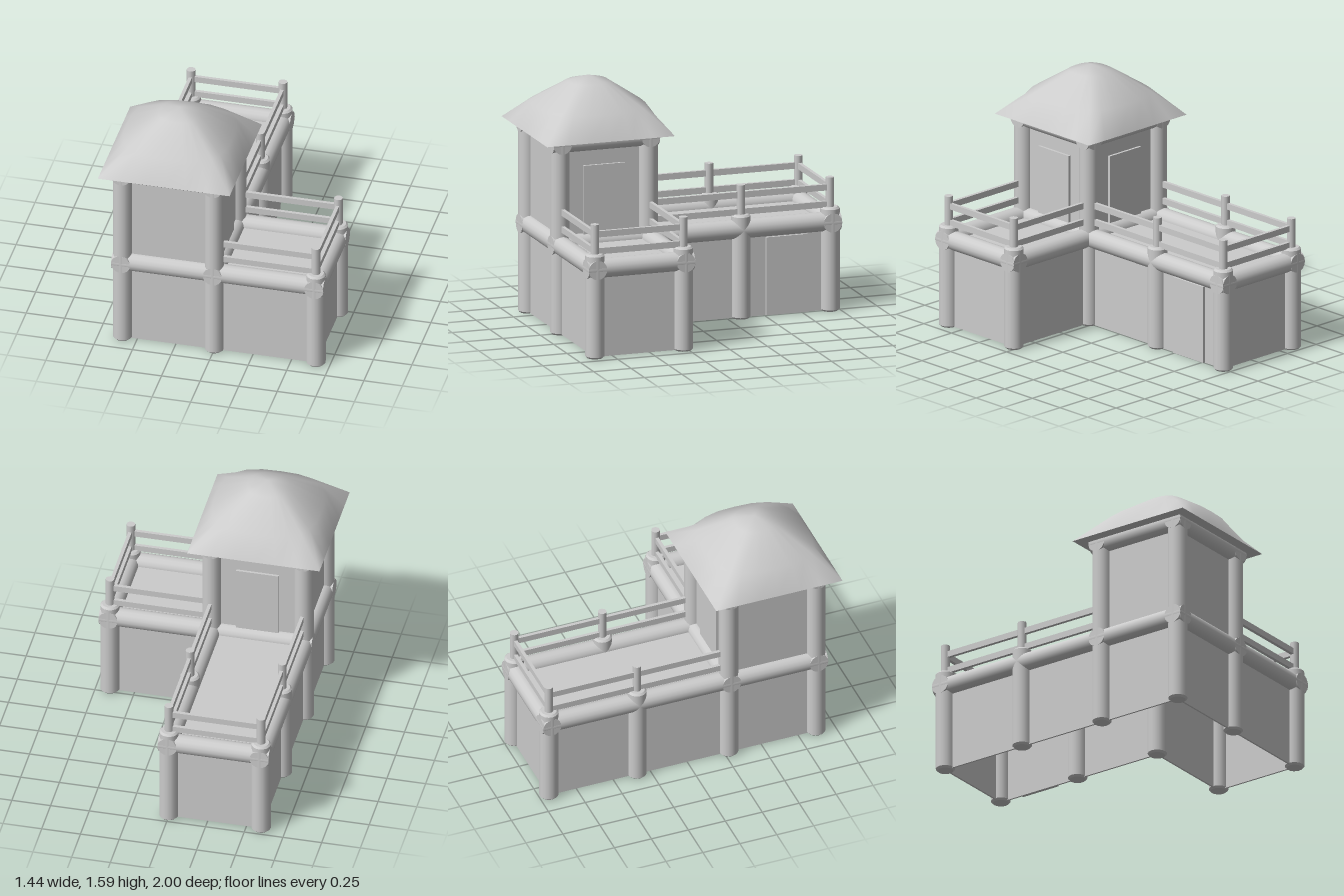
import * as THREE from 'three';

const grey = new THREE.MeshStandardMaterial({ color: 0xcccccc });
grey.name = 'plain grey';

export function createModel() {
  const root = new THREE.Group();
  root.name = 'watchtower';
  const add = (name, geo, x = 0, y = 0, z = 0) => {
    const m = new THREE.Mesh(geo, grey);
    m.name = name;
    m.position.set(x, y, z);
    root.add(m);
    return m;
  };

  // Grid lines shared by posts, beams and walls
  const L = -0.595, M = 0, R = 0.658;
  const F = 0.87, C = 0.28, B = -0.34, K = -0.936;
  const r = 0.062, beamY = 0.578, topY = 1.235;

  // Upright log with small bevels at both ends
  const log = (radius, h, bevel) => {
    const p = [[0, 0], [radius - bevel, 0], [radius, bevel], [radius, h - bevel], [radius - bevel, h], [0, h]];
    const pts = [];
    // doubled points keep the edges crisp
    p.forEach(([x, y], i) => {
      pts.push(new THREE.Vector2(x, y));
      if (i > 0 && i < 5) pts.push(new THREE.Vector2(x, y + (i < 3 ? 1e-4 : -1e-4)));
    });
    return new THREE.LatheGeometry(pts, 16);
  };

  // Straight horizontal part between two plan points
  const span = (name, geoFor, a, b, y, extra = 0) => {
    const dx = b[0] - a[0], dz = b[1] - a[1];
    const m = add(name, geoFor(Math.hypot(dx, dz) + extra * 2), (a[0] + b[0]) / 2, y, (a[1] + b[1]) / 2);
    m.rotation.y = Math.atan2(-dz, dx);
    return m;
  };
  const beam = (a, b, y) => span('beam', len => new THREE.CylinderGeometry(r, r, len, 16).rotateZ(Math.PI / 2), a, b, y, 0.06);
  const wall = (name, a, b, y0, y1) => span(name, len => new THREE.BoxGeometry(len, y1 - y0, 0.012), a, b, (y0 + y1) / 2);

  // Posts
  for (const x of [L, M]) for (const z of [F, C]) add('tallPost', log(r, 1.25, 0.012), x, 0, z);
  const shortPosts = [[L, B], [M, B], [L, K], [M, K], [R, F], [R, C]];
  for (const [x, z] of shortPosts) {
    add('shortPost', log(r, 0.675, 0.012), x, 0, z);
    add('railPost', new THREE.CylinderGeometry(0.028, 0.028, 0.2, 10), x, 0.765, z);
  }

  // Lower outline: walls and beams
  const outline = [[L, F], [R, F], [R, C], [M, C], [M, K], [L, K]];
  outline.forEach((a, i) => {
    const b = outline[(i + 1) % outline.length];
    wall('lowerWall', a, b, 0.005, beamY);
    beam(a, b, beamY);
  });
  beam([L, C], [M, C], beamY);
  beam([M, F], [M, C], beamY);

  // Tower room walls and top beams
  const room = [[L, F], [M, F], [M, C], [L, C]];
  room.forEach((a, i) => {
    const b = room[(i + 1) % 4];
    wall('towerWall', a, b, beamY, 1.25);
    beam(a, b, topY);
  });

  // Deck floors
  const floor = (name, x0, x1, z0, z1) =>
    add(name, new THREE.BoxGeometry(x1 - x0, 0.012, z1 - z0), (x0 + x1) / 2, beamY, (z0 + z1) / 2);
  floor('backDeck', L, M, K, C);
  floor('sideDeck', M, R, C, F);
  floor('towerFloor', L, M, C, F);

  // Railings, two bars on each open side
  const rails = [
    [[M, F], [R, F]], [[R, F], [R, C]], [[R, C], [M, C]],
    [[M, C], [M, K]], [[M, K], [L, K]], [[L, K], [L, C]],
  ];
  for (const [a, b] of rails) for (const y of [0.69, 0.8])
    span('rail', len => new THREE.BoxGeometry(len, 0.04, 0.022), a, b, y);

  // Doors
  add('sideDeckDoor', new THREE.BoxGeometry(0.025, 0.5, 0.275), M + 0.01, 0.83, 0.58);
  add('backDeckDoor', new THREE.BoxGeometry(0.275, 0.5, 0.025), (L + M) / 2, 0.83, C - 0.01);
  add('groundDoor', new THREE.BoxGeometry(0.025, 0.505, 0.275), M + 0.01, 0.26, -0.64);

  // Domed roof: square eave easing into rounded-square rings
  const n = 6, count = n * 4;
  const rings = [[0.427, 1.25, 60], [0.345, 1.405, 2.9], [0.13, 1.548, 2.5]];
  const pos = [], idx = [];
  for (const [half, y, p] of rings) for (let i = 0; i < count; i++) {
    const t = (i % n) / n * 2 - 1, side = Math.floor(i / n);
    const [a, b] = [[t, 1], [1, -t], [-t, -1], [-1, t]][side];
    const s = p > 50 ? half : half / Math.pow(Math.abs(a) ** p + Math.abs(b) ** p, 1 / p);
    pos.push(a * s, y, b * s);
  }
  pos.push(0, 1.585, 0);
  for (let k = 0; k < rings.length; k++) for (let i = 0; i < count; i++) {
    const j = (i + 1) % count, a = k * count + i, b = k * count + j;
    if (k === rings.length - 1) idx.push(a, b, rings.length * count);
    else idx.push(a, b, b + count, a, b + count, a + count);
  }
  const roof = new THREE.BufferGeometry();
  roof.setAttribute('position', new THREE.Float32BufferAttribute(pos, 3));
  roof.setIndex(idx);
  roof.computeVertexNormals();
  add('roof', roof, -0.2975, 0, 0.573);
  add('roofUnderside', new THREE.PlaneGeometry(0.854, 0.854).rotateX(Math.PI / 2), -0.2975, 1.25, 0.573);

  return root;
}
